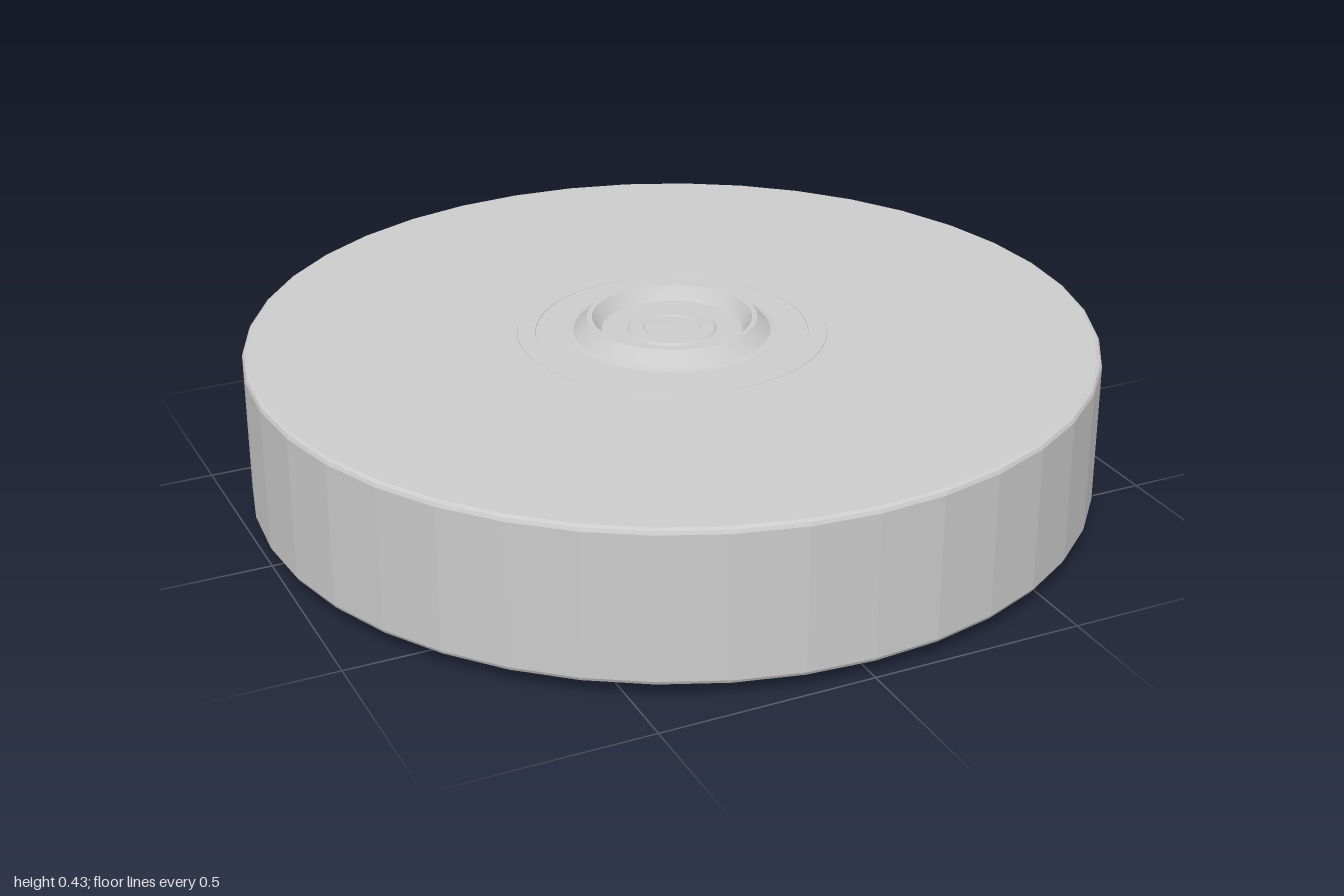
import * as THREE from 'three';
import { toCreasedNormals } from 'three/addons/utils/BufferGeometryUtils.js';

const MID = 0.217; // height of the mirror plane between the two faces
const TOP = 0.182; // wheel face, measured from that plane

// Turned part from [radius, height] pairs; outside runs bottom to top
function turned(name, profile, sides, crease) {
  const points = profile.map(([r, y]) => new THREE.Vector2(r, y));
  const geometry = toCreasedNormals(new THREE.LatheGeometry(points, sides), crease);
  const mesh = new THREE.Mesh(geometry, new THREE.MeshStandardMaterial({ color: 0xcccccc }));
  mesh.name = name;
  return mesh;
}

// Everything mounted on one face of the wheel
function createFace(name) {
  const face = new THREE.Group();
  face.name = name;

  // Thin inlaid ring around the hub
  face.add(turned('faceRing', [
    [0.365, TOP], [0.364, TOP + 0.002], [0.321, TOP + 0.002], [0.32, TOP],
  ], 40, 0.5));

  // Raised collar with bevelled outside and dished inside
  face.add(turned('hubCollar', [
    [0.245, TOP], [0.232, TOP + 0.003], [0.2, 0.217], [0.188, 0.217],
    [0.168, TOP + 0.006], [0.165, TOP + 0.003],
  ], 40, 0.5));

  // Recessed hub floor with the stepped axle end in the middle
  face.add(turned('axleEnd', [
    [0.166, TOP + 0.003], [0.105, TOP + 0.003], [0.1, TOP + 0.008],
    [0.068, TOP + 0.008], [0.064, TOP + 0.005], [0, TOP + 0.007],
  ], 40, 0.5));
  return face;
}

export function createModel() {
  const model = new THREE.Group();
  model.name = 'wheel';

  // Broad faceted disc with slightly eased edges
  const disc = turned('disc', [
    [0.2, -TOP], [0.988, -TOP], [0.996, -TOP + 0.004], [1, -TOP + 0.012],
    [1, TOP - 0.012], [0.996, TOP - 0.004], [0.988, TOP], [0.2, TOP],
  ], 40, 0.1);
  disc.position.y = MID;
  model.add(disc);

  // Matching hub details above and below
  const upper = createFace('upperHub');
  const lower = createFace('lowerHub');
  upper.position.y = lower.position.y = MID;
  lower.rotation.x = Math.PI;
  model.add(upper, lower);
  return model;
}
